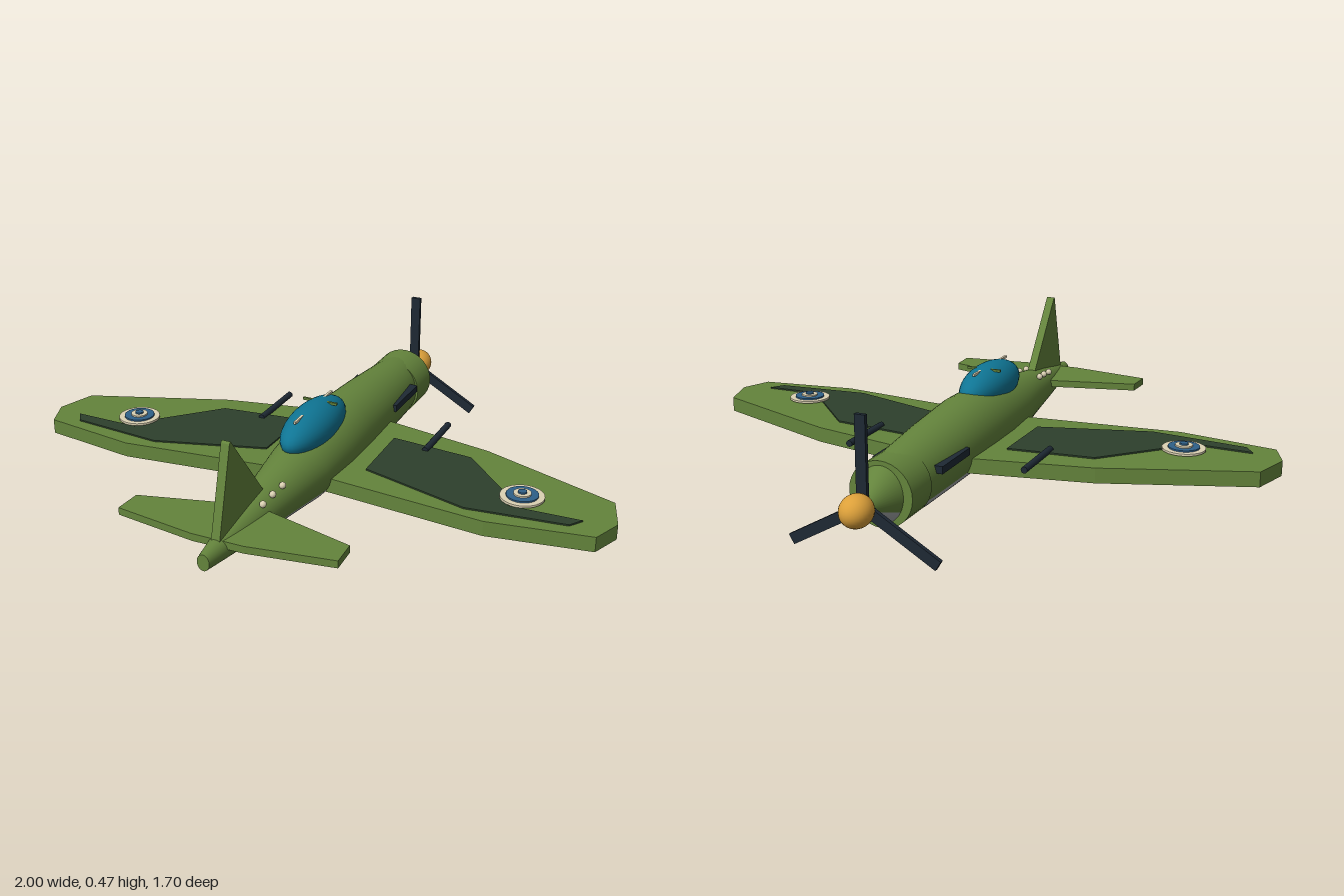
import * as THREE from 'three';

const mat = (name, color, side = THREE.FrontSide) => {
  const m = new THREE.MeshStandardMaterial({ color, side });
  m.name = name;
  return m;
};

// Fuselage stations: z, half width, bottom y, top y (nose to tail)
const STATIONS = [
  [-0.75, 0.028, 0.125, 0.18], [-0.65, 0.075, 0.065, 0.245], [-0.58, 0.092, 0.05, 0.258],
  [-0.48, 0.1, 0.046, 0.267], [-0.3, 0.11, 0.048, 0.284], [-0.08, 0.117, 0.05, 0.3],
  [0.08, 0.117, 0.056, 0.296], [0.25, 0.105, 0.066, 0.275], [0.42, 0.08, 0.085, 0.252],
  [0.6, 0.058, 0.106, 0.228], [0.75, 0.037, 0.125, 0.203], [0.85, 0.02, 0.137, 0.19],
];

// Skin a range of elliptical stations between two angles
function loft(stations, a0, a1, steps) {
  const pos = [], index = [], row = steps + 1;
  stations.forEach(([z, w, lo, hi], i) => {
    for (let j = 0; j <= steps; j++) {
      const a = a0 + ((a1 - a0) * j) / steps;
      pos.push(w * Math.cos(a), (lo + hi) / 2 + ((hi - lo) / 2) * Math.sin(a), z);
      if (i < stations.length - 1 && j < steps) {
        const p = i * row + j;
        index.push(p, p + 1, p + row, p + 1, p + row + 1, p + row);
      }
    }
  });
  const g = new THREE.BufferGeometry();
  g.setAttribute('position', new THREE.Float32BufferAttribute(pos, 3));
  g.setIndex(index);
  g.computeVertexNormals();
  return g;
}

// Flat plate from an (x, z) outline
function plate(points, top, thick) {
  const shape = new THREE.Shape(points.map(([x, z]) => new THREE.Vector2(x, z)));
  const g = new THREE.ExtrudeGeometry(shape, { depth: thick, bevelEnabled: false });
  return g.rotateX(Math.PI / 2).translate(0, top, 0);
}

const mirrored = (half) => [...half, ...half.map(([x, z]) => [-x, z]).reverse()];

export function createModel() {
  const model = new THREE.Group();
  const green = mat('green paint', 0x64843c);
  const darkGreen = mat('dark green camouflage', 0x2d402c);
  const gray = mat('gray belly paint', 0xa6aaac);
  const black = mat('dark metal', 0x1e2934);
  const glass = mat('blue canopy', 0x0f7594);
  const gold = mat('gold spinner', 0xdca03a);
  const cream = mat('cream markings', 0xdcd2b4);
  const blue = mat('marking blue', 0x2f6088);

  const add = (name, geometry, material, x = 0, y = 0, z = 0) => {
    const mesh = new THREE.Mesh(geometry, material);
    mesh.name = name;
    mesh.position.set(x, y, z);
    model.add(mesh);
    return mesh;
  };

  // Fuselage with gray belly
  const D = Math.PI / 180;
  add('fuselage', loft(STATIONS, -30 * D, 210 * D, 32), green);
  add('belly', loft(STATIONS.slice(0, 10), 210 * D, 330 * D, 16), gray);
  add('tailUnderside', loft(STATIONS.slice(9), 210 * D, 330 * D, 16), green);
  add('tailCap', new THREE.CircleGeometry(1, 32).scale(0.02, 0.0265, 1), green, 0, 0.1635, 0.85);

  // Engine cowling
  add('cowling', new THREE.CylinderGeometry(0.104, 0.104, 0.125, 32).rotateX(Math.PI / 2), green, 0, 0.155, -0.588);

  // Wings and tail surfaces
  add('wings', plate(mirrored([
    [0.1, -0.255], [0.49, -0.176], [0.96, 0], [1, 0.13], [0.96, 0.23], [0.63, 0.28], [0.1, 0.225],
  ]), 0.155, 0.05), green);
  add('tailplane', plate(mirrored([
    [0.04, 0.553], [0.355, 0.637], [0.36, 0.727], [0.085, 0.768],
  ]), 0.195, 0.024), green);
  const finShape = new THREE.Shape([[-0.51, 0.235], [-0.695, 0.476], [-0.702, 0.47], [-0.785, 0.17]]
    .map(([x, y]) => new THREE.Vector2(x, y)));
  const fin = new THREE.ExtrudeGeometry(finShape, { depth: 0.028, bevelEnabled: false });
  add('fin', fin.translate(0, 0, -0.014).rotateY(Math.PI / 2), green);

  // Canopy and its frame bars
  add('canopy', new THREE.SphereGeometry(1, 32, 20).scale(0.075, 0.074, 0.19), glass, 0, 0.286, 0.134);
  add('canopyRail', new THREE.BoxGeometry(0.008, 0.008, 0.27), cream, 0, 0.349, 0.135);
  add('canopyCrossbar', new THREE.BoxGeometry(0.12, 0.008, 0.008), green, 0, 0.349, 0.085);

  // Spinner and three propeller blades
  add('spinner', new THREE.SphereGeometry(1, 28, 18).scale(0.05, 0.05, 0.058), gold, 0, 0.155, -0.792);
  for (let i = 0; i < 3; i++) {
    const blade = new THREE.BoxGeometry(0.034, 0.275, 0.014).translate(0, 0.1375, 0);
    add('propellerBlade', blade.rotateZ((i * Math.PI * 2) / 3), black, 0, 0.155, -0.755);
  }

  for (const s of [1, -1]) {
    // Guns and exhausts
    add('wingGun', new THREE.CylinderGeometry(0.011, 0.011, 0.22, 12).rotateX(Math.PI / 2), black, s * 0.305, 0.161, -0.19);
    add('exhaust', new THREE.BoxGeometry(0.028, 0.024, 0.195), black, s * 0.104, 0.191, -0.383);

    // Camouflage patch on the wing
    add('camouflagePatch', plate([
      [0.175, -0.128], [0.46, -0.098], [0.64, 0.09], [0.67, 0.163],
      [0.9, 0.157], [0.87, 0.2], [0.55, 0.232], [0.18, 0.122],
    ].map(([x, z]) => [s * x, z]), 0.16, 0.006), darkGreen);

    // Stacked disc roundel
    [[0.07, cream], [0.051, blue], [0.028, cream], [0.014, blue]].forEach(([r, m], i) =>
      add('roundelDisc', new THREE.CylinderGeometry(r, r, 0.007, 28), m, s * 0.693, 0.164 + i * 0.005, 0.095));

    // Small studs along the rear fuselage
    [[0.46, 0.053, 0.234], [0.515, 0.048, 0.229], [0.572, 0.045, 0.223]].forEach(([z, x, y]) =>
      add('rearStud', new THREE.SphereGeometry(0.011, 10, 8), cream, s * x, y, z));
  }
  return model;
}
